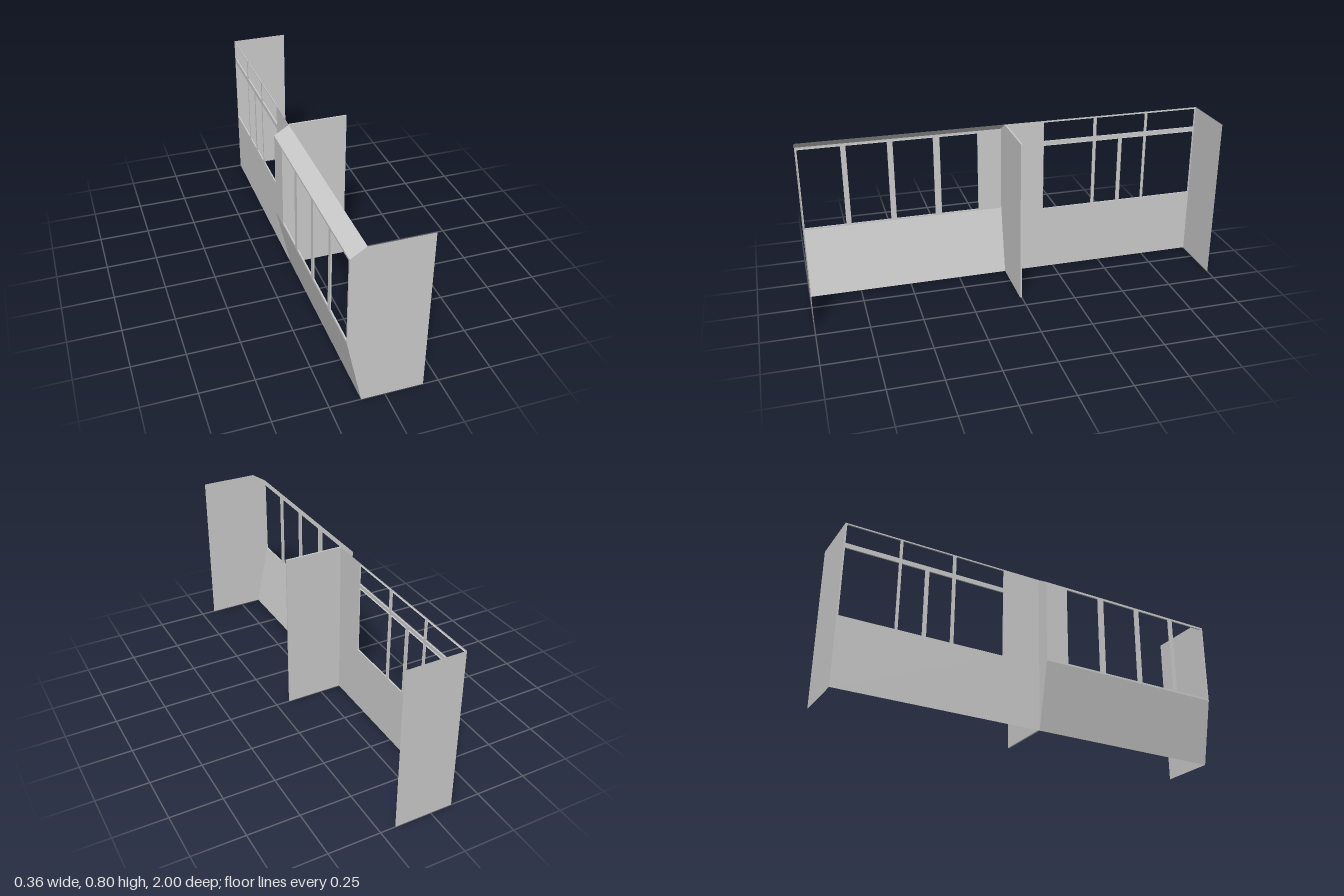
import * as THREE from 'three';

const material = new THREE.MeshStandardMaterial({ color: 0xcccccc, side: THREE.DoubleSide, flatShading: true });
const HEIGHT = 0.8, INNER = 0.178, WALL = -0.107, BAY = -0.178;
const MID = 0.008, REVEAL = 0.007; // front of the partition, depth of window frames

function part(name, geometry, parent) {
  const mesh = new THREE.Mesh(geometry, material);
  mesh.name = name;
  parent.add(mesh);
  return mesh;
}

// Flat sheet in the xy plane from corner points
const sheet = (points) =>
  new THREE.ShapeGeometry(new THREE.Shape(points.map(([x, y]) => new THREE.Vector2(x, y))));

// Sheet spanned between two edges, each given by two corners
function quad(a, b, c, d) {
  const geometry = new THREE.BufferGeometry();
  geometry.setAttribute('position', new THREE.Float32BufferAttribute([a, b, c, a, c, d].flat(), 3));
  geometry.computeVertexNormals();
  return geometry;
}

// Side wall sheet at x with window openings [z0, z1, y0, y1] and shallow frames turned inward
function windowWall(name, x, [z0, z1, y0, y1], windows, parent) {
  const group = new THREE.Group();
  group.name = name;
  const shape = new THREE.Shape([[z0, y0], [z1, y0], [z1, y1], [z0, y1]].map((p) => new THREE.Vector2(...p)));
  for (const [a, b, c, d] of windows) {
    const corners = [[a, c], [a, d], [b, d], [b, c]];
    shape.holes.push(new THREE.Path(corners.map((p) => new THREE.Vector2(...p))));
    corners.forEach(([z, y], i) => {
      const [zn, yn] = corners[(i + 1) % 4];
      part('windowReveal', quad([x, y, z], [x, yn, zn], [x + REVEAL, yn, zn], [x + REVEAL, y, z]), group);
    });
  }
  const geometry = new THREE.ShapeGeometry(shape);
  geometry.rotateY(-Math.PI / 2);
  geometry.translate(x, 0, 0);
  part('wallSheet', geometry, group);
  parent.add(group);
}

export function createModel() {
  const model = new THREE.Group();
  model.name = 'carriageSideSection';

  // Front bay: leaning lower wall, upright window wall, sloping roof edge
  const profile = [[WALL, 0], [BAY, 0.33], [BAY, 0.755], [WALL, HEIGHT]];
  const slope = ([xa, ya], [xb, yb]) => quad([xa, ya, MID], [xa, ya, 1], [xb, yb, 1], [xb, yb, MID]);
  part('bayLowerWall', slope(profile[0], profile[1]), model);
  part('bayRoofSlope', slope(profile[2], profile[3]), model);
  const bayWindows = [[0.79, 0.99], [0.57, 0.765], [0.348, 0.543], [0.128, 0.316]]
    .map(([a, b]) => [a, b, 0.34, 0.744]);
  windowWall('bayWindowWall', BAY, [MID, 1, 0.33, 0.755], bayWindows, model);

  // Rear flat wall: lower panes with a row of transom lights above
  const transoms = [[-0.447, -0.19], [-0.72, -0.463], [-0.992, -0.733]].map(([a, b]) => [a, b, 0.697, 0.794]);
  const panes = [[-0.447, -0.19], [-0.583, -0.463], [-0.72, -0.602], [-0.992, -0.733]]
    .map(([a, b]) => [a, b, 0.335, 0.673]);
  windowWall('rearWindowWall', WALL, [-1, 0, 0, HEIGHT], [...transoms, ...panes], model);

  // Cross partitions
  part('frontEndPanel', sheet([...profile, [INNER, HEIGHT], [INNER, 0]]), model).position.z = 1;
  part('rearEndPanel', sheet([[WALL, 0], [INNER, 0], [INNER, HEIGHT], [WALL, HEIGHT]]), model).position.z = -1;
  part('middlePartition', new THREE.BoxGeometry(INNER - WALL, HEIGHT, MID), model)
    .position.set((INNER + WALL) / 2, HEIGHT / 2, MID / 2);
  part('bayClosingPanel', sheet(profile), model).position.z = MID;

  return model;
}
